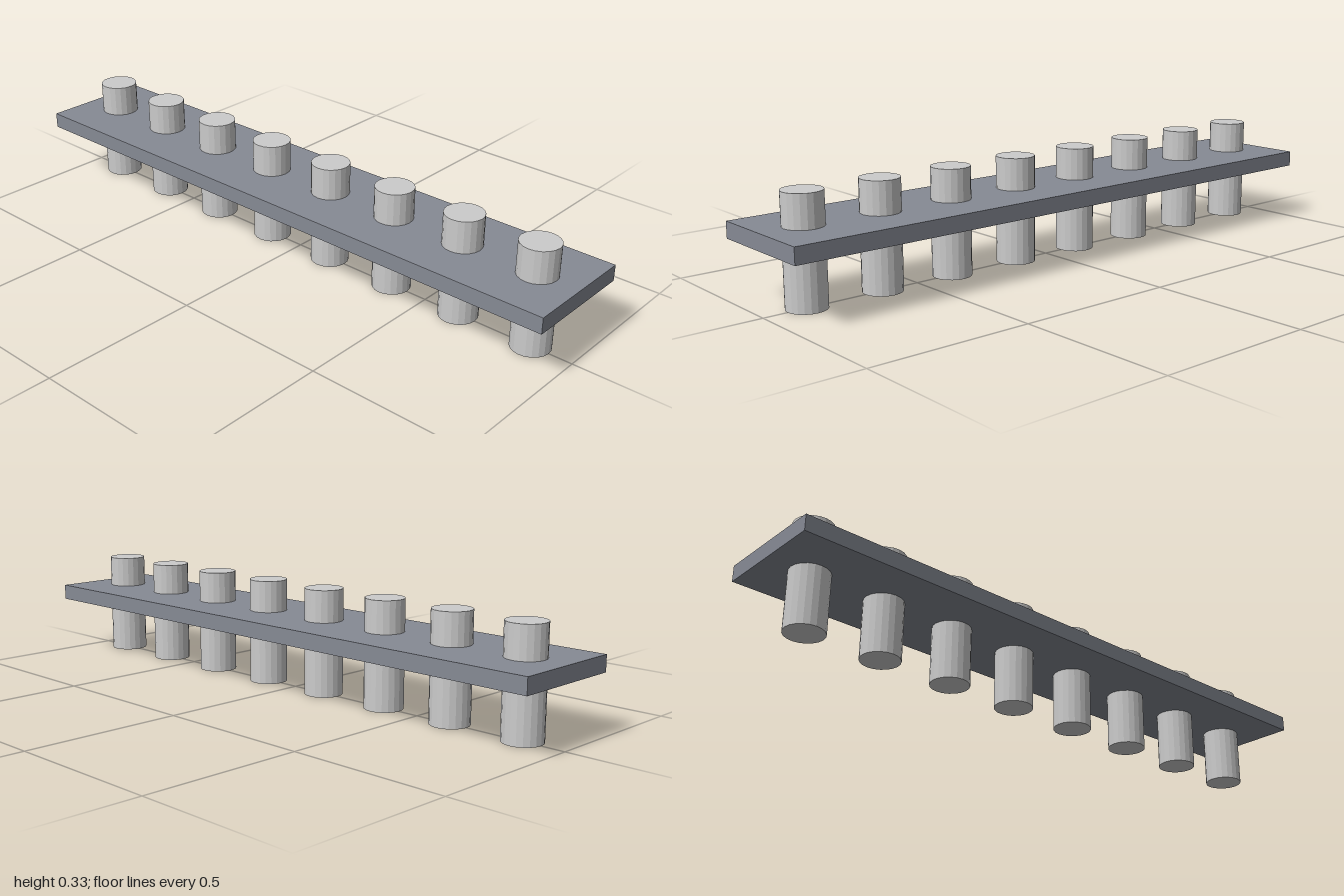
import * as THREE from 'three';

const PIN_COUNT = 8, PIN_SPACING = 0.2476, PIN_RADIUS = 0.06, PIN_HEIGHT = 0.333;
const PLATE_BOTTOM = 0.183, PLATE_THICKNESS = 0.05, PLATE_DEPTH = 0.367;

export function createModel() {
  const model = new THREE.Group();
  model.name = 'pinHeader';

  // Flat strip that holds the pins
  const plate = new THREE.Mesh(
    new THREE.BoxGeometry(2, PLATE_THICKNESS, PLATE_DEPTH),
    new THREE.MeshStandardMaterial({ color: 0x868a94 })
  );
  plate.name = 'plate';
  plate.position.y = PLATE_BOTTOM + PLATE_THICKNESS / 2;
  model.add(plate);

  // Row of faceted pins passing through the strip
  const pinGeometry = new THREE.CylinderGeometry(PIN_RADIUS, PIN_RADIUS, PIN_HEIGHT, 20);
  const pinMaterial = new THREE.MeshStandardMaterial({ color: 0xcccccc, flatShading: true });
  for (let i = 0; i < PIN_COUNT; i++) {
    const pin = new THREE.Mesh(pinGeometry, pinMaterial);
    pin.name = `pin${i + 1}`;
    pin.position.set((i - (PIN_COUNT - 1) / 2) * PIN_SPACING, PIN_HEIGHT / 2, 0);
    model.add(pin);
  }

  return model;
}
